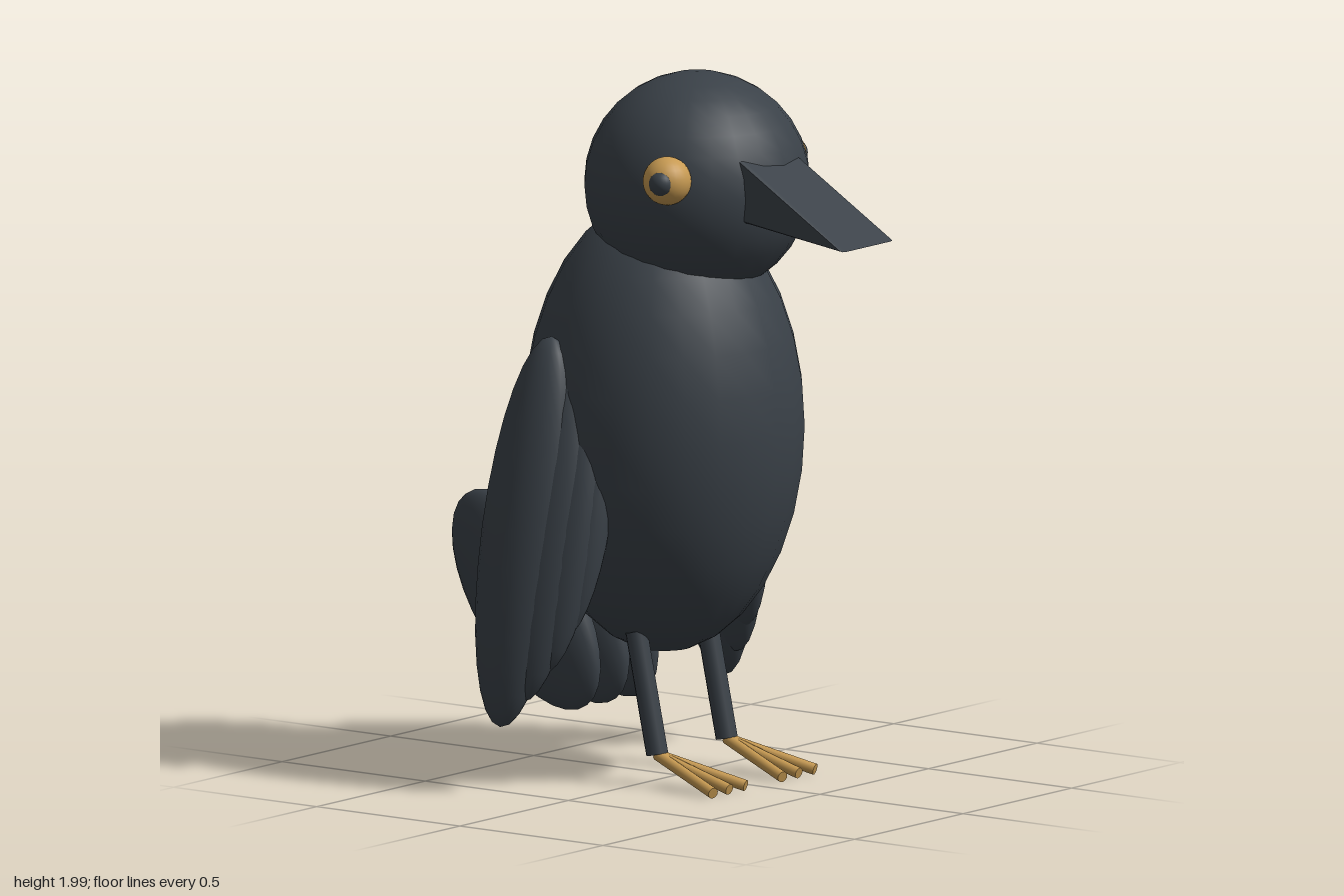
import * as THREE from 'three';

const dark = new THREE.MeshStandardMaterial({ color: 0x3a4148 });
const gold = new THREE.MeshStandardMaterial({ color: 0xc79a52 });
const UP = new THREE.Vector3(0, 1, 0);

function add(parent, name, geometry, material = dark) {
  const mesh = new THREE.Mesh(geometry, material);
  mesh.name = name;
  parent.add(mesh);
  return mesh;
}

function ellipsoid(parent, name, center, radii, material = dark) {
  const mesh = add(parent, name, new THREE.SphereGeometry(1, 24, 16), material);
  mesh.position.set(...center);
  mesh.scale.set(...radii);
  return mesh;
}

// Straight rod between two points
function rod(parent, name, from, to, radius, material = dark) {
  const a = new THREE.Vector3(...from), b = new THREE.Vector3(...to);
  const mesh = add(parent, name, new THREE.CylinderGeometry(radius, radius, a.distanceTo(b), 12), material);
  mesh.position.copy(a).lerp(b, 0.5);
  mesh.quaternion.setFromUnitVectors(UP, b.sub(a).normalize());
  return mesh;
}

function addBeak(parent) {
  // Wedge profile drawn as (z, y), extruded across x
  const profile = new THREE.Shape();
  profile.moveTo(0.66, 1.578);
  profile.lineTo(0.22, 1.845);
  profile.lineTo(0.22, 1.64);
  profile.closePath();
  const geometry = new THREE.ExtrudeGeometry(profile, {
    depth: 0.21, bevelEnabled: true, bevelSize: 0.006, bevelThickness: 0.013, bevelSegments: 2,
  });
  geometry.translate(0, 0, -0.105);
  geometry.rotateY(-Math.PI / 2);
  add(parent, 'beak', geometry);
}

function addEye(parent, side, label) {
  ellipsoid(parent, label + 'Eye', [side * 0.265, 1.745, 0.167], [0.068, 0.068, 0.068], gold);
  ellipsoid(parent, label + 'Pupil', [side * 0.307, 1.745, 0.18], [0.036, 0.036, 0.036]);
}

function addWing(parent, side, label) {
  const wing = new THREE.Group();
  wing.name = label + 'Wing';
  parent.add(wing);
  // Overlapping feathers, longest at the back: center, radii, outward lean
  const feathers = [
    [[0.425, 0.735, -0.205], [0.098, 0.55, 0.135], 0.165],
    [[0.405, 0.74, -0.15], [0.085, 0.48, 0.125], 0.18],
    [[0.385, 0.75, -0.105], [0.075, 0.41, 0.115], 0.19],
    [[0.36, 0.775, -0.07], [0.065, 0.34, 0.1], 0.2],
  ];
  for (const [[x, y, z], radii, lean] of feathers) {
    const feather = ellipsoid(wing, 'wingFeather', [side * x, y, z], radii);
    feather.rotation.set(0.04, 0, side * lean);
  }
}

function addLeg(parent, side, label) {
  const x = side * 0.16;
  rod(parent, label + 'Leg', [x, 0.435, -0.02], [x, 0.095, 0.053], 0.031);
  for (const spread of [-0.075, 0, 0.075]) {
    rod(parent, label + 'Toe', [x, 0.093, 0.055], [x + spread, 0.023, 0.305], 0.016, gold);
  }
}

export function createModel() {
  const bird = new THREE.Group();
  bird.name = 'bird';

  ellipsoid(bird, 'body', [0, 1, -0.045], [0.39, 0.645, 0.397]);
  ellipsoid(bird, 'head', [0.028, 1.685, 0.05], [0.317, 0.315, 0.317]);
  addBeak(bird);

  for (const [side, label] of [[1, 'left'], [-1, 'right']]) {
    addEye(bird, side, label);
    addWing(bird, side, label);
    addLeg(bird, side, label);
  }

  // Three upturned tail feathers
  for (const x of [-0.133, 0, 0.133]) {
    const feather = ellipsoid(bird, 'tailFeather', [x, 0.477, -0.425], [0.071, 0.348, 0.179]);
    feather.rotation.x = -0.655;
  }
  return bird;
}
